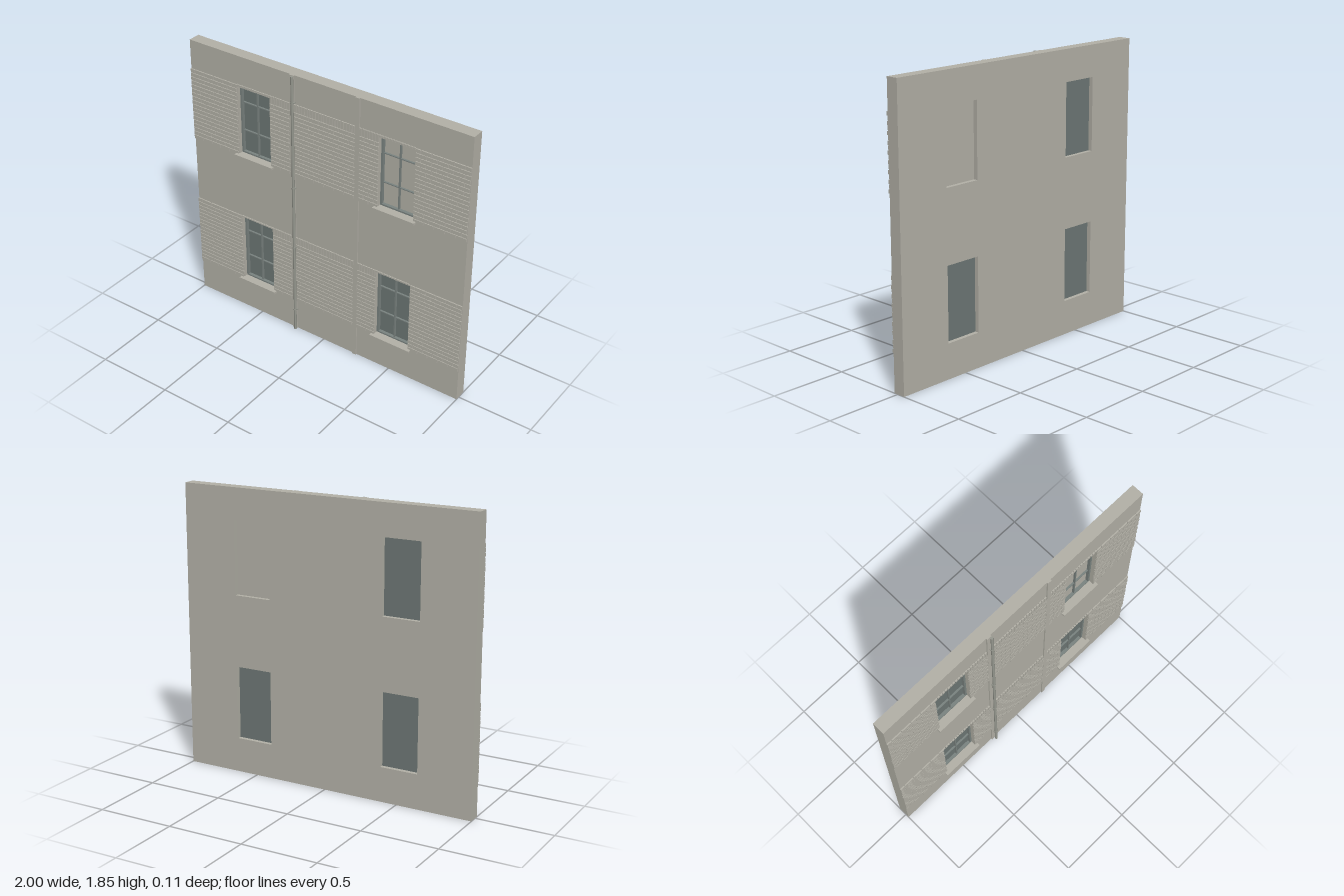
import * as THREE from 'three';
import { mergeGeometries } from 'three/addons/utils/BufferGeometryUtils.js';

const mat = (name, color) => {
  const m = new THREE.MeshStandardMaterial({ color });
  m.name = name;
  return m;
};

// Box geometry given by its limits on each axis
function box(x0, x1, y0, y1, z0, z1) {
  return new THREE.BoxGeometry(x1 - x0, y1 - y0, z1 - z0)
    .translate((x0 + x1) / 2, (y0 + y1) / 2, (z0 + z1) / 2);
}

const HEIGHT = 1.85, BACK = -0.055, FRONT = 0.025, BRICK = 0.033;
const WIN_X = [-0.515, 0.515], HALF = 0.125;
const FLOORS = [
  { y0: 0.226, y1: 0.705, bars: [0.39, 0.58], band: [0.22, 0.715] },
  { y0: 1.17, y1: 1.645, bars: [1.33, 1.525], band: [1.164, 1.66] },
];
const PILASTERS = [[-0.24, -0.208], [0.23, 0.258]];

export function createModel() {
  const group = new THREE.Group();
  const stone = mat('stone', 0xb3b1a7);
  const frameMat = mat('window frame', 0x7a8380);
  const glassMat = mat('glass', 0x6d7775);
  const pipeMat = mat('pipe metal', 0x96988f);
  const add = (name, geos, material) => {
    const mesh = new THREE.Mesh(Array.isArray(geos) ? mergeGeometries(geos) : geos, material);
    mesh.name = name;
    group.add(mesh);
  };

  // Wall slab with four window openings
  const outline = new THREE.Shape();
  outline.moveTo(-1, 0).lineTo(1, 0).lineTo(1, HEIGHT).lineTo(-1, HEIGHT).closePath();
  for (const f of FLOORS) for (const x of WIN_X) {
    const hole = new THREE.Path();
    hole.moveTo(x - HALF, f.y0).lineTo(x - HALF, f.y1)
      .lineTo(x + HALF, f.y1).lineTo(x + HALF, f.y0).closePath();
    outline.holes.push(hole);
  }
  add('wall', new THREE.ExtrudeGeometry(outline, { depth: FRONT - BACK, bevelEnabled: false })
    .translate(0, 0, BACK), stone);

  // Pilaster strips
  add('pilasters', PILASTERS.map(([a, b]) => box(a, b, 0, HEIGHT, 0.02, BRICK + 0.001)), stone);

  // Raised bricks, with a soldier course along the top of the inner bays
  const bricks = [];
  const gap = 0.004, long = 0.072, course = 0.0275, soldier = 0.05;
  const brick = (x0, x1, y0, y1) => {
    if (x1 - x0 > 0.006 && y1 - y0 > 0.004) bricks.push(box(x0, x1, y0, y1, 0.02, BRICK));
  };
  const layBay = (x0, x1, y0, y1) => {
    const rows = Math.max(1, Math.round((y1 - y0) / course)), h = (y1 - y0) / rows;
    for (let r = 0; r < rows; r++) {
      for (let x = x0 - (r % 2) * long / 2; x < x1; x += long) {
        brick(Math.max(x, x0), Math.min(x + long - gap, x1), y0 + r * h, y0 + (r + 1) * h - gap);
      }
    }
  };
  const laySoldiers = (x0, x1, y0, y1) => {
    const n = Math.round((x1 - x0) / 0.02), w = (x1 - x0) / n;
    for (let i = 0; i < n; i++) brick(x0 + i * w, x0 + (i + 1) * w - gap, y0, y1);
  };
  const outer = WIN_X[1] + HALF, inner = WIN_X[1] - HALF;
  const innerBays = [[-inner, PILASTERS[0][0]], [PILASTERS[0][1], PILASTERS[1][0]], [PILASTERS[1][1], inner]];
  for (const f of FLOORS) {
    const [b0, b1] = f.band;
    layBay(-1, -outer, b0, b1);
    layBay(outer, 1, b0, b1);
    for (const [a, b] of innerBays) {
      layBay(a, b, b0, b1 - soldier);
      laySoldiers(a, b, b1 - soldier, b1);
    }
    for (const x of WIN_X) laySoldiers(x - HALF, x + HALF, f.y1, b1);
  }
  add('bricks', bricks, stone);

  // Windows: frame, glazing bars, pane and sill
  FLOORS.forEach((f, level) => WIN_X.forEach((x, side) => {
    const l = x - HALF, r = x + HALF, t = 0.013, z0 = -0.024, z1 = 0;
    const blind = level === 1 && side === 1;
    add('windowFrame', [
      box(l, l + t, f.y0, f.y1, z0, z1),
      box(r - t, r, f.y0, f.y1, z0, z1),
      box(l + t, r - t, f.y0, f.y0 + t, z0, z1),
      box(l + t, r - t, f.y1 - t, f.y1, z0, z1),
    ], frameMat);
    add('glazingBars', [
      box(x - 0.004, x + 0.004, f.y0 + t, f.y1 - t, z0 + 0.004, z1 - 0.006),
      ...f.bars.map((y) => box(l + t, r - t, y - 0.003, y + 0.003, z0 + 0.004, z1 - 0.008)),
    ], frameMat);
    add('windowPane', box(l, r, f.y0, f.y1, z0 - 0.004, z0 + 0.004), blind ? stone : glassMat);
    add('windowSill', box(x - 0.145, x + 0.145, f.y0 - 0.012, f.y0 + 0.003, 0, 0.055), stone);
  }));

  // Drainpipe with collars
  const px = -0.212, pz = 0.044;
  add('drainpipe', new THREE.CylinderGeometry(0.009, 0.009, HEIGHT - 0.004, 12)
    .translate(px, HEIGHT / 2, pz), pipeMat);
  add('pipeCollars', [0.16, 0.645, 1.085, 1.675].flatMap((y) => [
    new THREE.CylinderGeometry(0.011, 0.011, 0.01, 12).translate(px, y, pz),
    box(px - 0.014, px + 0.014, y - 0.004, y + 0.004, 0.03, pz),
  ]), pipeMat);

  return group;
}
